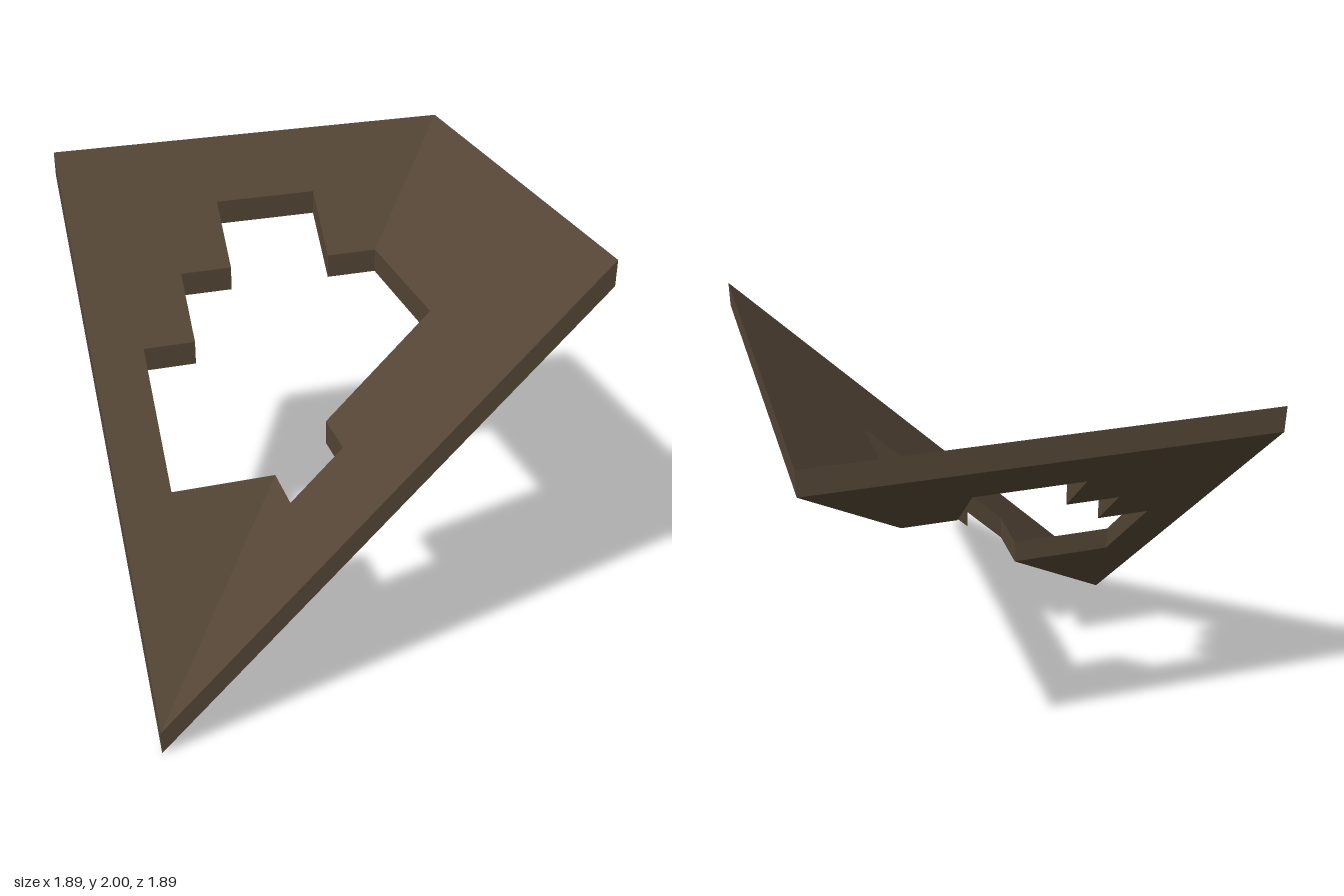
import * as THREE from 'three';

const UNIT = 0.2362;      // plan grid step; the roof spans -4..4 in x and z
const THICK = 0.11;       // vertical thickness of the slabs

// Extrude a plan outline of [x, z] grid points, then shear it up to a slope.
function slopedSlab(name, outline, height, material) {
  const shape = new THREE.Shape(outline.map(([x, z]) => new THREE.Vector2(x * UNIT, -z * UNIT)));
  const solid = new THREE.ExtrudeGeometry(shape, { depth: THICK, bevelEnabled: false });
  solid.rotateX(-Math.PI / 2);
  const p = solid.toNonIndexed ? (solid.index ? solid.toNonIndexed() : solid).attributes.position : null;
  const kept = [];
  for (let i = 0; i < p.count; i += 3) {
    const corners = [i, i + 1, i + 2];
    // leave out the hidden walls where the two slabs meet along the valley
    if (corners.every((k) => Math.abs(p.getX(k) + p.getZ(k)) < 1e-4)) continue;
    for (const k of corners) {
      const x = p.getX(k), z = p.getZ(k);
      kept.push(x, p.getY(k) + height(x, z), z);
    }
  }
  const geometry = new THREE.BufferGeometry();
  geometry.setAttribute('position', new THREE.Float32BufferAttribute(kept, 3));
  geometry.computeVertexNormals();
  const mesh = new THREE.Mesh(geometry, material);
  mesh.name = name;
  return mesh;
}

export function createModel() {
  const group = new THREE.Group();
  group.name = 'brokenRoofCorner';
  const wood = new THREE.MeshStandardMaterial({ color: 0x554636 });
  wood.name = 'dark brown wood';
  const base = 4 * UNIT;

  // slope rising to the back, with the stepped edge of the hole
  group.add(slopedSlab('backSlope', [
    [-4, 4], [-1, 1], [-3, 1], [-3, -1], [-2, -1], [-2, -2], [-1, -2],
    [-1, -3], [1, -3], [1, -2], [2, -2], [4, -4], [-4, -4],
  ], (x, z) => base - z, wood));

  // slope rising to the side, with the notch of the hole
  group.add(slopedSlab('sideSlope', [
    [-4, 4], [4, 4], [4, -4], [2, -2], [2, 1], [0, 1], [0, 2], [-1, 2], [-1, 1],
  ], (x) => base + x, wood));

  return group;
}
